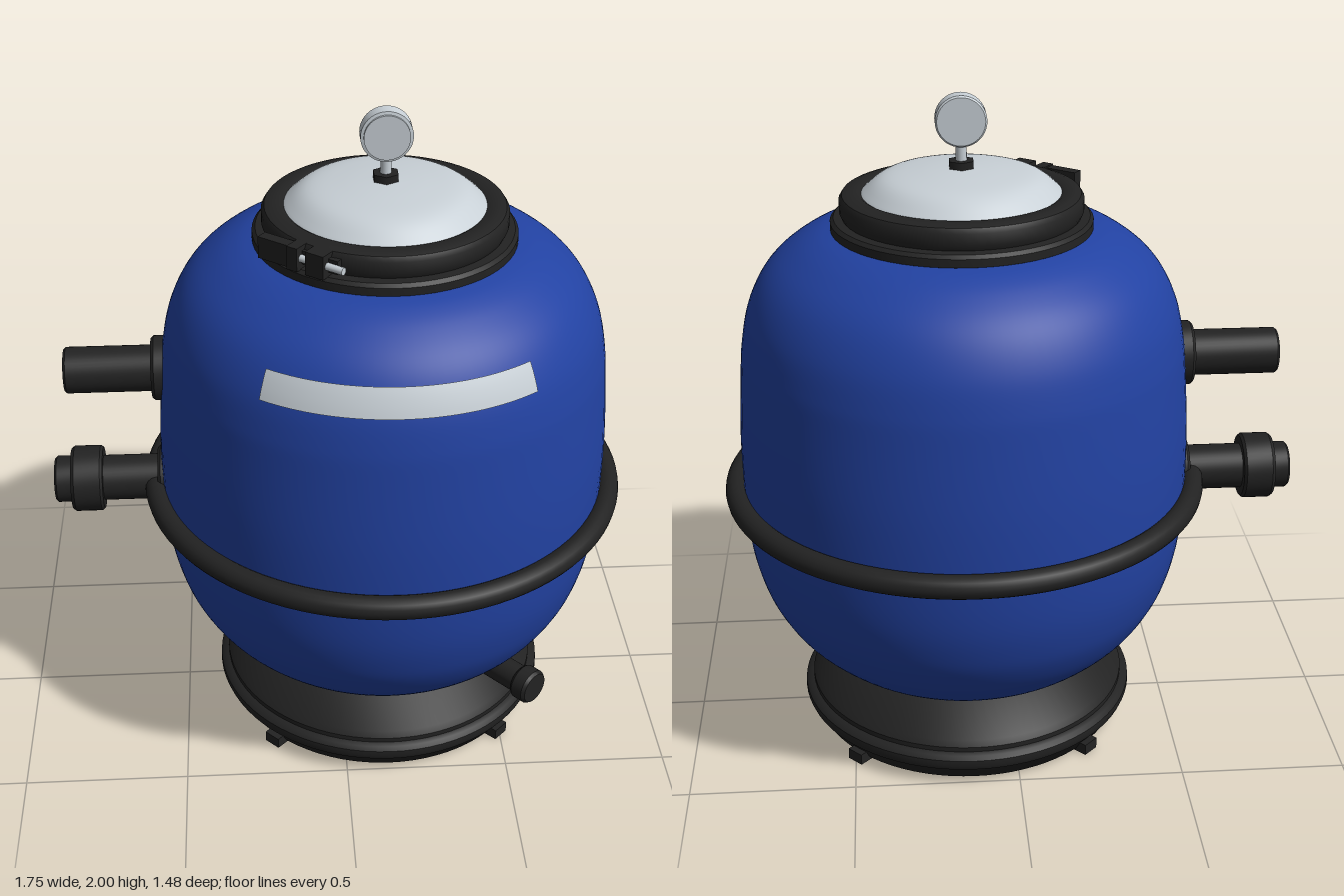
import * as THREE from 'three';
import { toCreasedNormals } from 'three/addons/utils/BufferGeometryUtils.js';

const AXIS_X = 0.135; // the tank stands off-centre because the ports reach out to -x

const mat = (name, color) => {
  const m = new THREE.MeshStandardMaterial({ color });
  m.name = name;
  return m;
};

export function createModel() {
  const model = new THREE.Group();
  model.name = 'sandFilter';
  const blue = mat('tankBlue', 0x2242a2);
  const black = mat('blackPlastic', 0x222222);
  const silver = mat('paleMetal', 0xc8d0d6);

  const tank = new THREE.Group();
  tank.name = 'tankAssembly';
  tank.position.x = AXIS_X;
  model.add(tank);

  const add = (parent, name, geometry, material) => {
    const mesh = new THREE.Mesh(geometry, material);
    mesh.name = name;
    parent.add(mesh);
    return mesh;
  };
  const vec = (pts) => pts.map(([r, y]) => new THREE.Vector2(r, y));
  // turned part with sharp edges kept
  const turned = (pts, segments = 64) =>
    toCreasedNormals(new THREE.LatheGeometry(vec(pts), segments), 0.6);

  // Tank shell: smooth profile from bottom to top
  const profile = new THREE.SplineCurve(vec([
    [0.385, 0.225], [0.42, 0.24], [0.49, 0.29], [0.56, 0.36], [0.612, 0.44], [0.645, 0.52],
    [0.67, 0.63], [0.681, 0.78], [0.682, 0.98], [0.668, 1.2], [0.658, 1.29], [0.638, 1.38],
    [0.602, 1.46], [0.555, 1.52], [0.49, 1.57], [0.43, 1.6], [0.375, 1.615],
  ])).getPoints(90);
  add(tank, 'tankShell', new THREE.LatheGeometry(profile, 96), blue);

  // Label: thin strip that follows the shell
  const radiusAt = (y) => {
    const i = profile.findIndex((p) => p.y >= y);
    const a = profile[i - 1], b = profile[i];
    return a.x + (b.x - a.x) * (y - a.y) / (b.y - a.y);
  };
  const strip = [];
  for (let i = 0; i <= 8; i++) {
    const y = 1.38 + 0.01 * i;
    strip.push([radiusAt(y) + 0.004, y]);
  }
  const half = 0.632;
  const label = add(tank, 'label', new THREE.LatheGeometry(vec(strip), 40, -half, 2 * half), silver.clone());
  label.material.name = 'labelGrey';
  label.material.side = THREE.DoubleSide;

  // Belt ring round the middle
  const belt = add(tank, 'beltRing', new THREE.TorusGeometry(0.704, 0.035, 16, 96), black);
  belt.rotation.x = Math.PI / 2;
  belt.position.y = 0.8;

  // Base skirt with a rounded rim
  add(tank, 'base', turned([
    [0, 0.004], [0.475, 0.004], [0.485, 0.01], [0.508, 0.052], [0.52, 0.06], [0.526, 0.075], [0.525, 0.093],
    [0.515, 0.105], [0.5, 0.11], [0.5, 0.125], [0.488, 0.142], [0.4, 0.228], [0.36, 0.24],
  ], 80), black);

  // Four anchor tabs under the rim
  for (let i = 0; i < 4; i++) {
    const a = Math.PI / 4 + i * Math.PI / 2;
    const tab = add(tank, 'anchorTab', new THREE.BoxGeometry(0.055, 0.035, 0.06), black);
    tab.position.set(Math.sin(a) * 0.49, 0.0175, Math.cos(a) * 0.49);
    tab.rotation.y = a;
  }

  // Neck flange and clamp ring
  add(tank, 'neckFlange', turned([
    [0.33, 1.6], [0.375, 1.605], [0.385, 1.613], [0.385, 1.637], [0.375, 1.647], [0.33, 1.65],
  ]), black);
  add(tank, 'clampRing', turned([
    [0.33, 1.645], [0.35, 1.65], [0.357, 1.665], [0.357, 1.7], [0.348, 1.714], [0.33, 1.72],
    [0.3, 1.72], [0.288, 1.713], [0.285, 1.69],
  ]), black);

  // Domed lid
  const dome = new THREE.SplineCurve(vec([
    [0.3, 1.7], [0.285, 1.722], [0.225, 1.764], [0.12, 1.781], [0, 1.788],
  ])).getPoints(24);
  dome[dome.length - 1].x = 0;
  add(tank, 'lidDome', new THREE.LatheGeometry(dome, 64), silver);

  // Clamp lock: two lugs joined by a bolt
  const lock = new THREE.Group();
  lock.name = 'clampLock';
  lock.position.set(-0.252, 1.68, 0.268);
  lock.rotation.y = -0.66;
  tank.add(lock);
  const block = (name, x, z, w, h, d) => {
    add(lock, name, new THREE.BoxGeometry(w, h, d), black).position.set(x, 0, z);
  };
  block('lockHandle', -0.085, 0, 0.1, 0.065, 0.035);
  block('lockLug', -0.015, 0, 0.035, 0.07, 0.05);
  block('lockLug', 0.06, 0, 0.06, 0.07, 0.05);
  block('lockBar', 0.02, -0.015, 0.2, 0.04, 0.03);
  const bolt = add(lock, 'lockBolt', new THREE.CylinderGeometry(0.011, 0.011, 0.2, 12), silver);
  bolt.rotation.z = Math.PI / 2;
  bolt.position.set(0.045, 0, 0.006);

  // Pressure gauge: nut, stem and dial
  const nut = add(tank, 'gaugeNut', new THREE.CylinderGeometry(0.04, 0.04, 0.026, 6), black);
  nut.position.y = 1.795;
  const stem = add(tank, 'gaugeStem', new THREE.CylinderGeometry(0.016, 0.016, 0.08, 16), silver);
  stem.position.y = 1.83;
  const gauge = add(tank, 'gaugeDial', turned([
    [0, -0.025], [0.07, -0.025], [0.075, -0.02], [0.075, 0.026], [0.066, 0.028], [0.066, 0.036], [0, 0.036],
  ], 40), silver);
  gauge.rotation.x = Math.PI / 2;
  gauge.position.y = 1.925;

  // Side ports, turned along -x; profile heights are distances from the centre
  const port = (name, y, pts) => {
    const p = add(model, name, turned(pts, 40), black);
    p.rotation.z = Math.PI / 2;
    p.position.y = y;
  };
  const flange = [[0, 0.5], [0.098, 0.5], [0.098, 0.552], [0.09, 0.561], [0.07, 0.561]];
  port('upperPort', 1.19, [...flange, [0.07, 0.815], [0.064, 0.822], [0, 0.822]]);
  port('lowerPort', 0.8, [
    ...flange, [0.07, 0.73], [0.095, 0.73], [0.102, 0.738], [0.102, 0.818], [0.095, 0.828],
    [0.072, 0.828], [0.072, 0.873], [0.065, 0.88], [0, 0.88],
  ]);

  // Drain spout with cap, low on the front left
  const spout = new THREE.Group();
  spout.name = 'drainSpout';
  spout.rotation.y = 0.73;
  spout.position.y = 0.3;
  tank.add(spout);
  const drain = add(spout, 'drain', turned([
    [0, 0.42], [0.043, 0.42], [0.043, 0.6], [0.05, 0.605], [0.055, 0.612], [0.055, 0.65], [0.048, 0.66], [0, 0.66],
  ], 32), black);
  drain.rotation.x = Math.PI / 2;

  return model;
}
